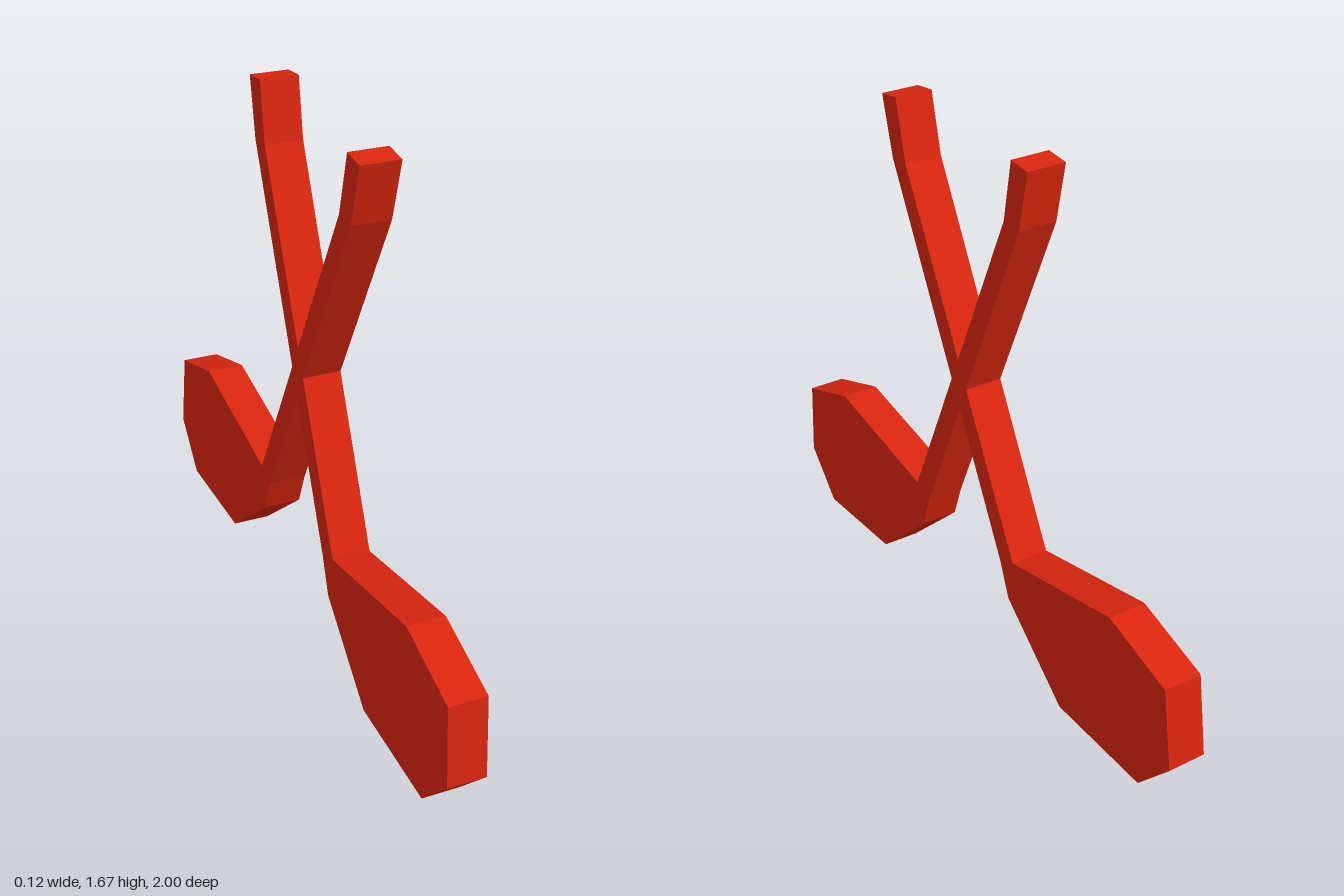
import * as THREE from 'three';

const THICKNESS = 0.116;
const material = new THREE.MeshStandardMaterial({ color: 0xd9260f, flatShading: true });

// Extrudes a side outline of [z, y] points across x, centred on x = 0
function slab(name, outline) {
  const shape = new THREE.Shape(outline.map(([z, y]) => new THREE.Vector2(-z, y)));
  const geometry = new THREE.ExtrudeGeometry(shape, { depth: THICKNESS, bevelEnabled: false });
  geometry.translate(0, 0, -THICKNESS / 2);
  geometry.rotateY(Math.PI / 2);
  const mesh = new THREE.Mesh(geometry, material);
  mesh.name = name;
  return mesh;
}

export function createModel() {
  const group = new THREE.Group();
  group.name = 'crossedClubs';

  // Club with its head at the front and its grip leaning back
  group.add(slab('frontHeadClub', [
    [0.28, 0.405], [0.745, 0.48], [0.985, 0.39], [1.0, 0.14], [0.865, 0], [0.5, 0.03],
    [0.25, 0.265], [0.21, 0.38], [-0.265, 1.485], [-0.3, 1.662], [-0.225, 1.668], [-0.195, 1.488],
  ]));

  // Club with its head at the back and its grip leaning forward
  group.add(slab('backHeadClub', [
    [-0.255, 0.43], [-0.715, 0.543], [-0.96, 0.472], [-1.0, 0.225], [-0.875, 0.08], [-0.505, 0.075],
    [-0.235, 0.29], [-0.19, 0.4], [0.375, 1.457], [0.425, 1.634], [0.35, 1.645], [0.305, 1.465],
  ]));

  return group;
}
